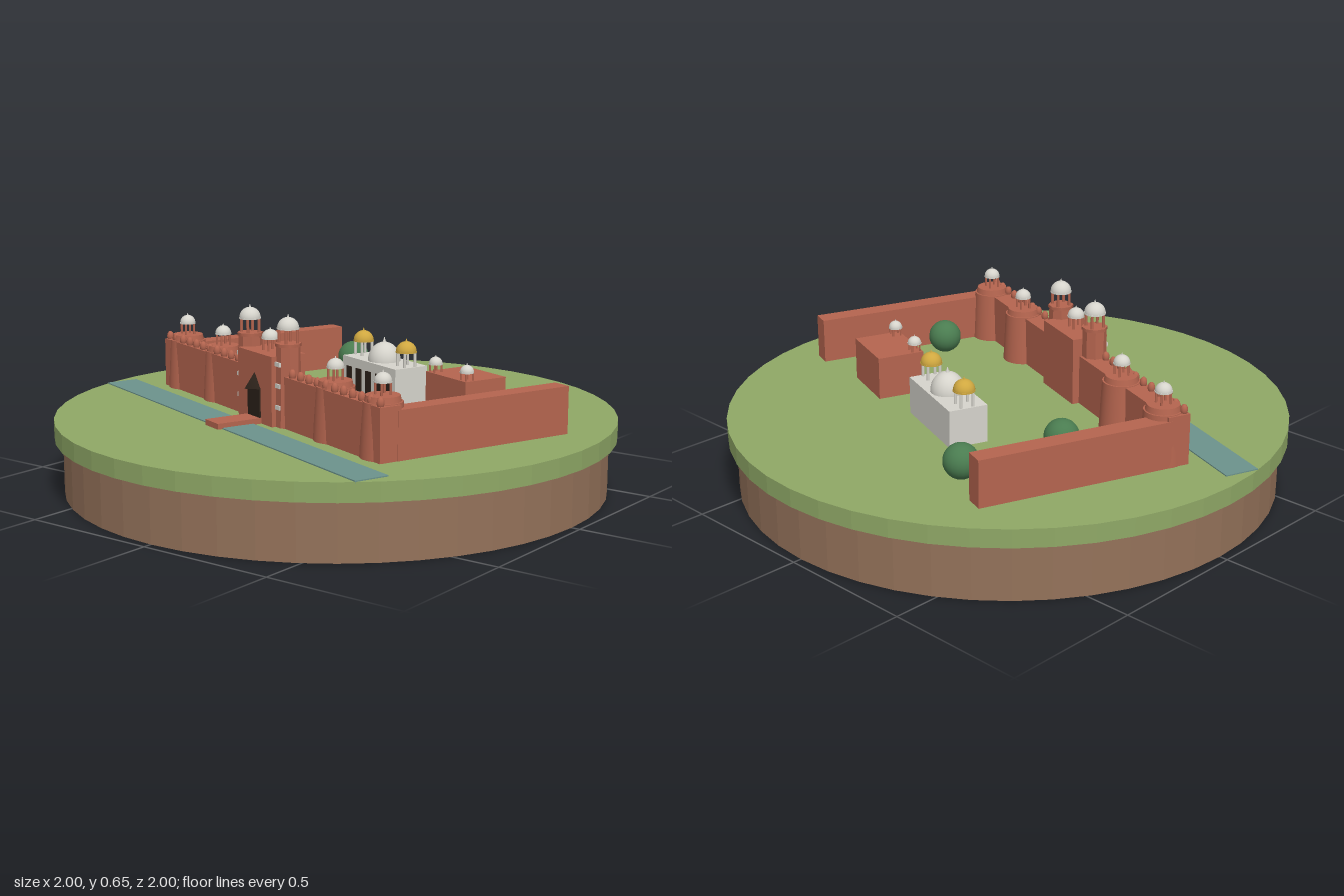
import * as THREE from 'three';

const mat = (name, color) => {
  const m = new THREE.MeshStandardMaterial({ color });
  m.name = name;
  return m;
};

export function createModel() {
  const grass = mat('grass', 0x8fa866);
  const earth = mat('earth', 0x94725a);
  const stone = mat('red sandstone', 0xb5654f);
  const marble = mat('marble', 0xd6d4cc);
  const gold = mat('gold', 0xd0a840);
  const leaf = mat('foliage', 0x4a7c50);
  const water = mat('water', 0x6c938c);
  const dark = mat('dark opening', 0x2b2119);
  for (const m of [grass, earth]) m.flatShading = true;

  const G = 0.265; // ground level
  const model = new THREE.Group();
  model.name = 'walledFort';
  const fort = new THREE.Group();
  fort.name = 'fort';
  fort.rotation.y = -0.35;
  model.add(fort);

  const add = (parent, name, geo, material, x, y, z) => {
    const m = new THREE.Mesh(geo, material);
    m.name = name;
    m.position.set(x, y, z);
    parent.add(m);
    return m;
  };
  // box given by its ranges on each axis
  const box = (name, material, x0, x1, y0, y1, z0, z1) =>
    add(fort, name, new THREE.BoxGeometry(x1 - x0, y1 - y0, z1 - z0), material,
      (x0 + x1) / 2, (y0 + y1) / 2, (z0 + z1) / 2);
  // upright cylinder or cone between two heights
  const drum = (parent, name, material, rTop, rBottom, y0, y1, x, z, sides = 24) =>
    add(parent, name, new THREE.CylinderGeometry(rTop, rBottom, y1 - y0, sides), material, x, (y0 + y1) / 2, z);
  // half-sphere dome with a small finial
  const dome = (parent, material, r, height, x, y, z) => {
    const d = add(parent, 'dome', new THREE.SphereGeometry(r, 20, 8, 0, Math.PI * 2, 0, Math.PI / 2), material, x, y, z);
    d.scale.y = height / r;
    drum(parent, 'finial', material, 0.001, r * 0.12, y + height * 0.97, y + height * 1.25, x, z, 8);
  };
  // open pavilion: four columns under a dome
  const kiosk = (name, x, y, z, colHeight, r, domeMat, colMat) => {
    const g = new THREE.Group();
    g.name = name;
    g.position.set(x, y, z);
    fort.add(g);
    for (const sx of [-1, 1]) for (const sz of [-1, 1])
      drum(g, 'column', colMat, r * 0.14, r * 0.14, 0, colHeight, sx * r * 0.58, sz * r * 0.58, 8);
    drum(g, 'eave', domeMat, r, r, colHeight - 0.004, colHeight, 0, 0);
    dome(g, domeMat, r * 0.97, r * 0.95, 0, colHeight, 0);
  };

  // Island base
  drum(model, 'earthBase', earth, 0.97, 0.97, 0, 0.2, 0, 0, 48);
  drum(model, 'grassDisc', grass, 1, 1, 0.2, G, 0, 0, 48);

  // Moat and bridge
  box('moat', water, -0.87, 0.87, G - 0.004, G + 0.004, 0.368, 0.49);
  box('bridge', stone, -0.045, 0.045, G, 0.285, 0.33, 0.507);

  // Curtain walls
  box('frontWall', stone, -0.733, 0.733, G, 0.445, 0.226, 0.308);
  for (const s of [-1, 1])
    box('sideWall', stone, s * 0.7 - 0.035, s * 0.7 + 0.035, G, 0.43, -0.455, 0.24);

  // Round bastions with kiosks
  for (const u of [-0.662, -0.383, 0.38, 0.658]) {
    drum(fort, 'bastion', stone, 0.066, 0.075, G, 0.448, u, 0.246);
    drum(fort, 'bastionCap', stone, 0.056, 0.06, 0.448, 0.468, u, 0.246);
    kiosk('bastionKiosk', u, 0.468, 0.246, 0.044, 0.03, marble, stone);
  }

  // Rounded merlons along the parapet
  const merlonGeo = new THREE.SphereGeometry(0.013, 10, 8);
  for (let i = 0; i < 28; i++) {
    const u = -0.715 + (i * 1.43) / 27;
    if (Math.abs(u) < 0.17) continue;
    add(fort, 'merlon', merlonGeo, stone, u, 0.456, 0.294).scale.y = 1.5;
  }

  // Gatehouse
  box('gateBlock', stone, -0.115, 0.115, G, 0.51, 0.2, 0.335);
  box('gateDoor', dark, -0.04, 0.04, G, 0.385, 0.33, 0.341);
  drum(fort, 'gateArchPoint', dark, 0, 0.041, 0.385, 0.44, 0, 0.335, 4);
  kiosk('gateKiosk', 0, 0.51, 0.271, 0.045, 0.031, marble, stone);
  for (const u of [-0.131, 0.129]) {
    const turret = new THREE.Group();
    turret.name = 'gateTurret';
    turret.position.set(u, 0, 0.276);
    fort.add(turret);
    const shaft = new THREE.CylinderGeometry(0.042, 0.046, 0.55 - G, 8).toNonIndexed();
    shaft.computeVertexNormals();
    add(turret, 'turretShaft', shaft, stone, 0, (0.55 + G) / 2, 0).rotation.y = Math.PI / 8;
    drum(turret, 'turretCap', stone, 0.046, 0.046, 0.545, 0.556, 0, 0, 8).rotation.y = Math.PI / 8;
    for (const y of [0.335, 0.41, 0.485])
      add(turret, 'marbleBand', new THREE.BoxGeometry(0.032, 0.015, 0.009), marble, 0, y, 0.0415);
    kiosk('turretKiosk', u, 0.556, 0.276, 0.052, 0.039, marble, stone);
  }

  // Marble hall with arcade, central dome and golden pavilions
  box('marbleHall', marble, -0.279, 0.067, G, 0.4, -0.352, -0.211);
  for (let i = -2; i <= 2; i++)
    box('hallOpening', dark, -0.106 + i * 0.064 - 0.017, -0.106 + i * 0.064 + 0.017, 0.28, 0.365, -0.213, -0.207);
  dome(fort, marble, 0.061, 0.07, -0.106, 0.4, -0.281);
  for (const s of [-1, 1])
    kiosk('goldPavilion', -0.106 + s * 0.14, 0.4, -0.282, 0.056, 0.039, gold, marble);

  // Red hall with two corner kiosks
  box('redHall', stone, 0.229, 0.461, G, 0.42, -0.404, -0.23);
  for (const s of [-1, 1])
    kiosk('redHallKiosk', 0.345 + s * 0.091, 0.42, -0.254, 0.03, 0.025, marble, stone);

  // Trees
  for (const [x, z] of [[-0.348, -0.573], [-0.447, -0.203], [0.521, 0.186]])
    add(model, 'tree', new THREE.SphereGeometry(0.061, 20, 14), leaf, x, 0.335, z);

  return model;
}
